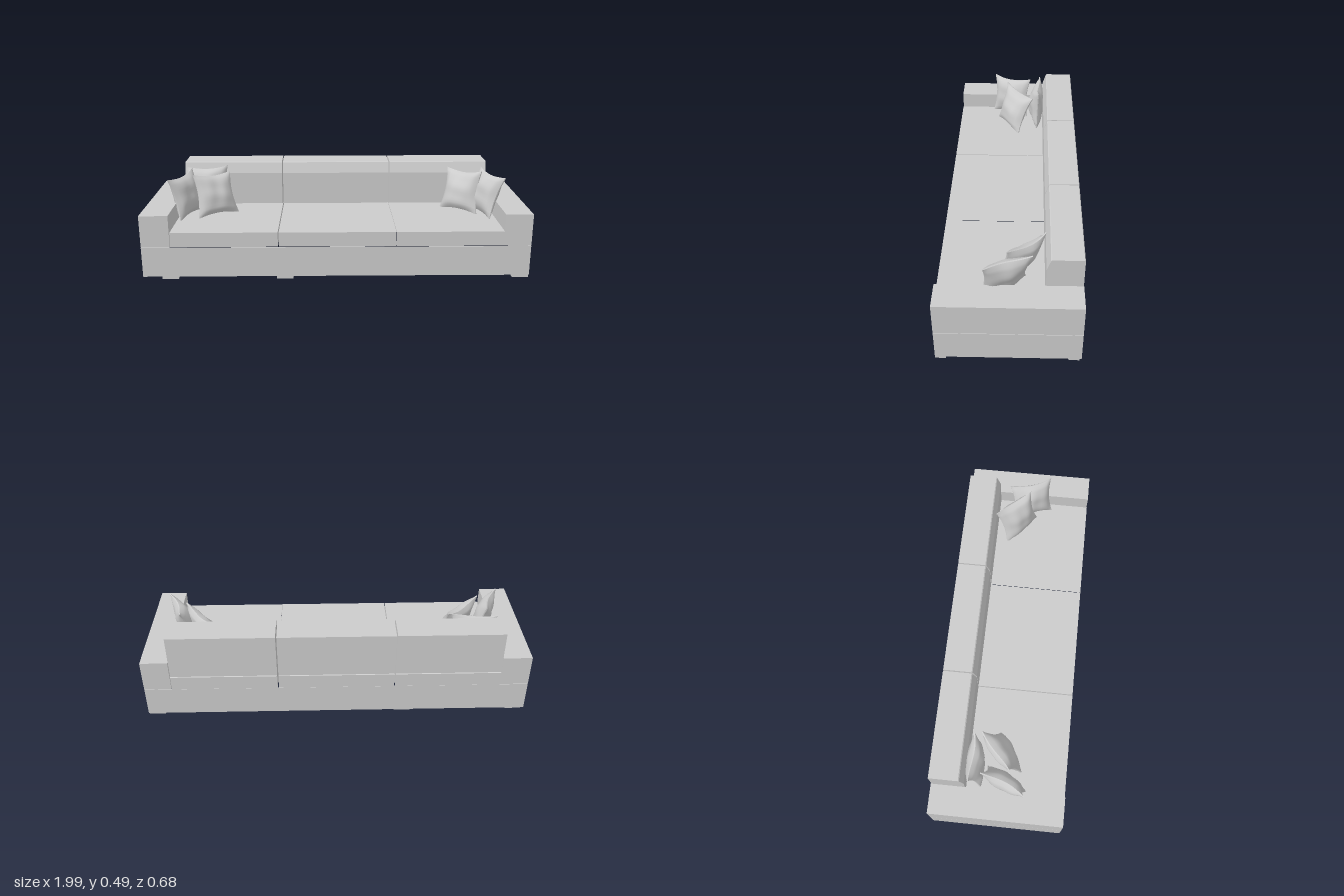
import * as THREE from 'three';

const mat = new THREE.MeshStandardMaterial({ color: 0xcccccc });
const matDouble = new THREE.MeshStandardMaterial({ color: 0xcccccc, side: THREE.DoubleSide });

function add(parent, name, geometry, material = mat) {
  const mesh = new THREE.Mesh(geometry, material);
  mesh.name = name;
  parent.add(mesh);
  return mesh;
}

// Box given by its two corners; faces listed in drop are left open
// (0 +x, 1 -x, 2 +y, 3 -y, 4 +z, 5 -z)
function box([x0, y0, z0], [x1, y1, z1], drop = []) {
  const g = new THREE.BoxGeometry(x1 - x0, y1 - y0, z1 - z0);
  g.translate((x0 + x1) / 2, (y0 + y1) / 2, (z0 + z1) / 2);
  if (drop.length) {
    g.setIndex(Array.from(g.index.array).filter((_, i) => !drop.includes(Math.floor(i / 6))));
    g.clearGroups();
  }
  return g;
}

// Square pillow: pinched corners, hollowed edges, puffed middle, soft creases
function pillowGeometry(seed) {
  const half = 0.118, puff = 0.042;
  const g = new THREE.BoxGeometry(2, 2, 2, 14, 14, 1);
  const p = g.attributes.position;
  for (let i = 0; i < p.count; i++) {
    const u = p.getX(i), v = p.getY(i), side = Math.sign(p.getZ(i));
    const dome = Math.pow((1 - u * u) * (1 - v * v), 0.55);
    const crease = 1 + 0.13 * Math.sin(4 * u + 3 * v + seed) * Math.cos(3 * u - 4 * v + 2 * seed);
    const bend = 0.012 * Math.sin(seed + 2 * u) * v;
    p.setXYZ(
      i,
      half * u * (1 - 0.14 * (1 - v * v)),
      half * v * (1 - 0.14 * (1 - u * u)),
      side * (0.003 + puff * dome * crease) + bend
    );
  }
  g.computeVertexNormals();
  return g;
}

export function createModel() {
  const sofa = new THREE.Group();
  sofa.name = 'sofa';
  const L = -1, R = 0.99, F = 0.34, B = -0.335, t = 0.004;

  // Plinth: four thin walls, open underneath
  const base = new THREE.Group();
  base.name = 'base';
  sofa.add(base);
  const lo = 0.013, hi = 0.171;
  add(base, 'baseFront', box([L, lo, F - t], [R, hi, F]));
  add(base, 'baseBack', box([L, lo, B], [R, hi, B + t]));
  add(base, 'baseLeft', box([R - t, lo, B + t], [R, hi, F - t]));
  add(base, 'baseRight', box([L, lo, B + t], [L + t, hi, F - t]));

  // Arms
  add(sofa, 'leftArm', box([0.85, 0.174, B], [R, 0.34, F]));
  add(sofa, 'rightArm', box([L, 0.174, B], [-0.853, 0.34, F]));

  // Seat cushions, hollow from below; the middle and left ones share one cavity
  const seats = [
    ['rightSeat', -0.85, -0.304, [3]],
    ['middleSeat', -0.299, 0.298, [0, 3]],
    ['leftSeat', 0.3, 0.849, [1, 3]],
  ];
  for (const [name, x0, x1, drop] of seats) {
    add(sofa, name, box([x0, 0.175, -0.175], [x1, 0.251, 0.342], drop), matDouble);
  }

  // Backrests with a sloped upper front edge, extruded sideways
  const profile = new THREE.Shape(
    [[0.338, 0.174], [0.338, 0.25], [0.334, 0.252], [0.334, 0.487], [0.331, 0.491],
      [0.188, 0.491], [0.183, 0.487], [0.164, 0.43], [0.164, 0.252], [0.178, 0.25], [0.178, 0.174]]
      .map(([z, y]) => new THREE.Vector2(z, y))
  );
  const backs = [['rightBack', -0.85, -0.307], ['middleBack', -0.301, 0.295], ['leftBack', 0.301, 0.847]];
  for (const [name, x0, x1] of backs) {
    const g = new THREE.ExtrudeGeometry(profile, { depth: x1 - x0, bevelEnabled: false });
    g.rotateY(Math.PI / 2); // profile x becomes -z, depth becomes +x
    add(sofa, name, g).position.x = x0;
  }

  // Low block feet
  const feet = [
    [0.945, 0.315], [-0.27, 0.315], [-0.86, 0.315],
    [0.945, -0.3], [-0.35, -0.3], [-0.945, -0.3],
  ];
  for (const [x, z] of feet) {
    add(sofa, 'foot', box([x - 0.042, 0, z - 0.025], [x + 0.042, 0.014, z + 0.025]));
  }

  // Scatter pillows: position, then yaw, lean and roll
  const pillows = [
    [-0.72, 0.362, -0.125, 0.05, -0.12, 0.03],
    [-0.81, 0.362, 0.03, 1.12, -0.25, 0.06],
    [-0.66, 0.358, 0.01, 0.65, -0.38, -0.04],
    [0.69, 0.358, -0.05, -0.8, -0.3, 0.05],
    [0.805, 0.365, 0.02, -1.13, -0.36, -0.06],
  ];
  pillows.forEach(([x, y, z, yaw, lean, roll], i) => {
    const pillow = add(sofa, 'pillow', pillowGeometry(i * 1.7 + 0.4));
    pillow.position.set(x, y, z);
    pillow.rotation.set(lean, yaw, roll, 'YXZ');
  });

  return sofa;
}
